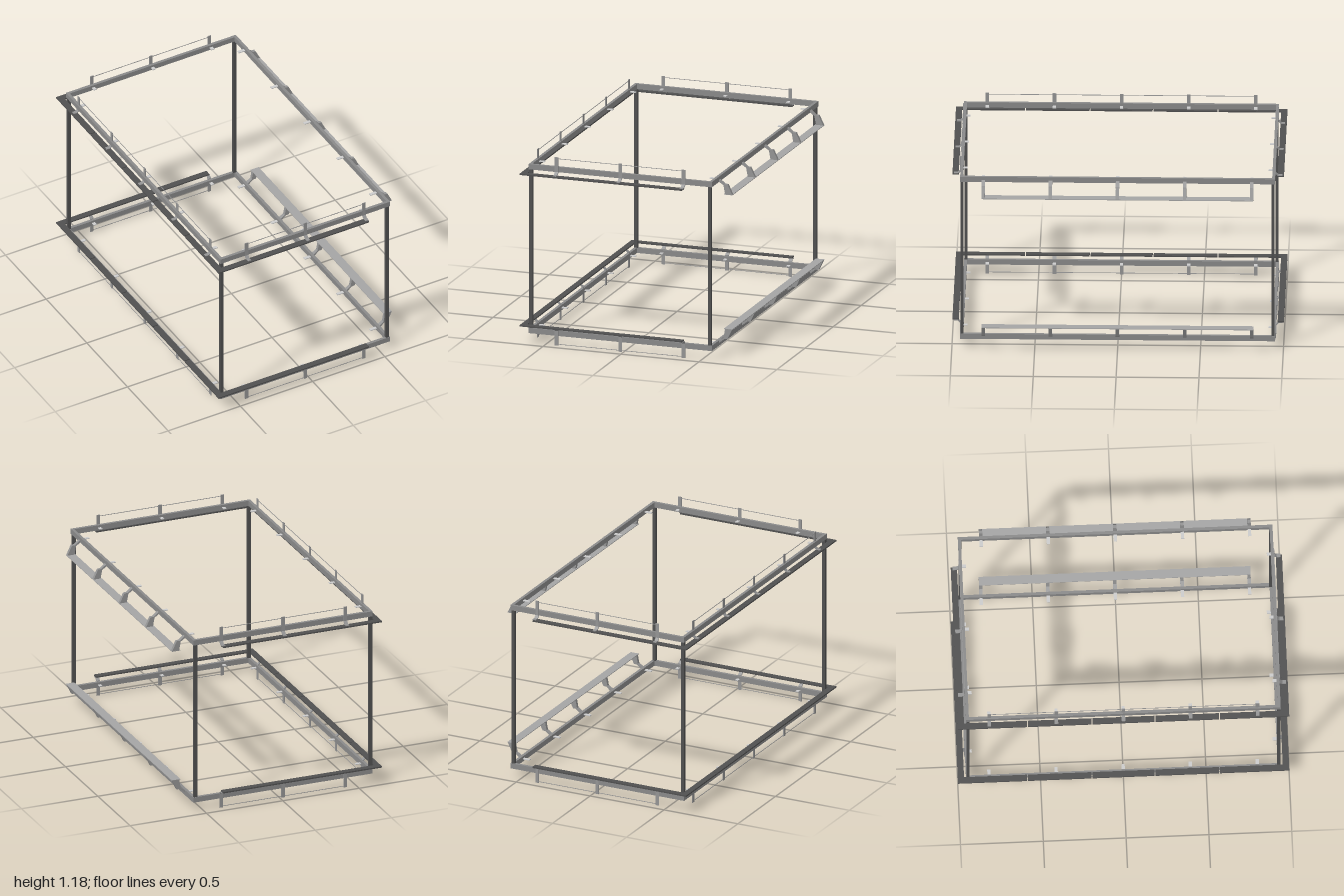
import * as THREE from 'three';

const paint = color => new THREE.MeshStandardMaterial({ color, flatShading: true, side: THREE.DoubleSide });
const lightGrey = paint(0xcccccc), shelfGrey = paint(0xa4a4a4), beamGrey = paint(0x8a8a8a);
const bracketGrey = paint(0x949494), darkGrey = paint(0x505050);
const MID = 0.59;                                  // half of the total height
const X0 = -0.61, X1 = 0.565, Z = 0.95;            // outer faces of the frame

// box given by its minimum and maximum corners
function box(parent, name, material, a, b) {
  const mesh = new THREE.Mesh(new THREE.BoxGeometry(b[0] - a[0], b[1] - a[1], b[2] - a[2]), material);
  mesh.position.set((a[0] + b[0]) / 2, (a[1] + b[1]) / 2, (a[2] + b[2]) / 2);
  mesh.name = name;
  parent.add(mesh);
}

// plate cut from an (outward, height) profile, extruded along local x and centred at x
function strap(parent, name, material, points, x, width) {
  const shape = new THREE.Shape(points.map(p => new THREE.Vector2(p[0], p[1])));
  const geo = new THREE.ExtrudeGeometry(shape, { depth: width, bevelEnabled: false });
  geo.translate(0, 0, -width / 2).rotateY(-Math.PI / 2);
  const mesh = new THREE.Mesh(geo, material);
  mesh.position.x = x;
  mesh.name = name;
  parent.add(mesh);
}

// one side of a level: local +z points outward from the frame face, local x runs along it
function sideGroup(parent, name, angle, x, z) {
  const g = new THREE.Group();
  g.name = name;
  g.rotation.y = angle;
  g.position.set(x, 0, z);
  parent.add(g);
  return g;
}

// inward mounting tab
function tab(parent, x, reach) {
  box(parent, 'mountingTab', lightGrey, [x - 0.01, 0.074, -reach], [x + 0.01, 0.079, -0.01]);
}

// upright strap that bends outward under the ledge
const bracketProfile = [[-0.002, 0], [0.003, 0], [0.003, 0.092], [0.018, 0.107],
  [0.04, 0.107], [0.04, 0.111], [0.015, 0.111], [-0.002, 0.097]];

// straps, thin wire and narrow ledge, the ledge split at the joints
function ledgeSide(g, stations, ledgeFrom, ledgeTo, tabReach, joints = []) {
  for (const x of stations) {
    strap(g, 'ledgeBracket', bracketGrey, bracketProfile, x, 0.022);
    tab(g, x, tabReach);
  }
  const lo = Math.min(...stations), hi = Math.max(...stations);
  box(g, 'wire', bracketGrey, [lo, 0.007, -0.001], [hi, 0.01, 0.002]);
  const cuts = [ledgeFrom, ...joints, ledgeTo];
  for (let i = 0; i + 1 < cuts.length; i++) {
    const a = cuts[i] + (i ? 0.003 : 0), b = cuts[i + 1] - (i + 2 < cuts.length ? 0.003 : 0);
    box(g, 'ledge', darkGrey, [a, 0.111, 0.012], [b, 0.119, 0.05]);
  }
}

// sloping arms and gussets that carry the raised shelf
const armProfile = [[-0.002, 0.08], [0.003, 0.08], [0.036, 0.107], [0.033, 0.115], [0, 0.093]];
const gussetProfile = [[0.026, 0.105], [0.054, 0.106], [0.084, 0.168], [0.038, 0.168]];

function buildLevel() {
  const level = new THREE.Group();
  const w = 0.018, y0 = 0.06, y1 = 0.093;
  // perimeter beams
  box(level, 'frontBeam', beamGrey, [X0, y0, Z - w], [X1, y1, Z]);
  box(level, 'backBeam', beamGrey, [X0, y0, -Z], [X1, y1, -Z + w]);
  box(level, 'rightBeam', beamGrey, [X0, y0, -Z + w], [X0 + w, y1, Z - w]);
  box(level, 'leftBeam', beamGrey, [X1 - w, y0, -Z + w], [X1, y1, Z - w]);

  // ledges on the front, back and right sides
  const short = [-0.43, -0.022, 0.383], long = [-0.81, -0.405, 0, 0.405, 0.81];
  ledgeSide(sideGroup(level, 'frontLedge', 0, 0, Z), short, -0.612, 0.39, 0.042);
  ledgeSide(sideGroup(level, 'backLedge', Math.PI, 0, -Z), short.map(x => -x), -0.39, 0.612, 0.042);
  ledgeSide(sideGroup(level, 'rightLedge', -Math.PI / 2, X0 + 0.01, 0), long, -1, 1, 0.045,
    [-0.58, -0.19, 0.19, 0.58]);

  // shelf on the left side
  const shelf = sideGroup(level, 'leftShelf', Math.PI / 2, X1, 0);
  for (const x of long) {
    strap(shelf, 'shelfArm', bracketGrey, armProfile, x, 0.022);
    strap(shelf, 'shelfGusset', bracketGrey, gussetProfile, x, 0.02);
    tab(shelf, x, 0.062);
  }
  box(shelf, 'shelfPlate', shelfGrey, [-0.82, 0.166, 0.03], [0.82, 0.17, 0.085]);
  return level;
}

export function createModel() {
  const model = new THREE.Group();
  model.name = 'frameStructure';

  const bottom = buildLevel();
  bottom.name = 'bottomLevel';
  model.add(bottom);

  // the top level is the bottom one turned over
  const top = buildLevel();
  top.name = 'topLevel';
  top.rotation.x = Math.PI;
  top.position.y = 2 * MID;
  model.add(top);

  // corner posts
  for (const x of [X0 + 0.012, X1 - 0.016])
    for (const z of [-Z + 0.012, Z - 0.012])
      box(model, 'cornerPost', darkGrey, [x - 0.011, 0.093, z - 0.009], [x + 0.011, 2 * MID - 0.093, z + 0.009]);

  return model;
}
